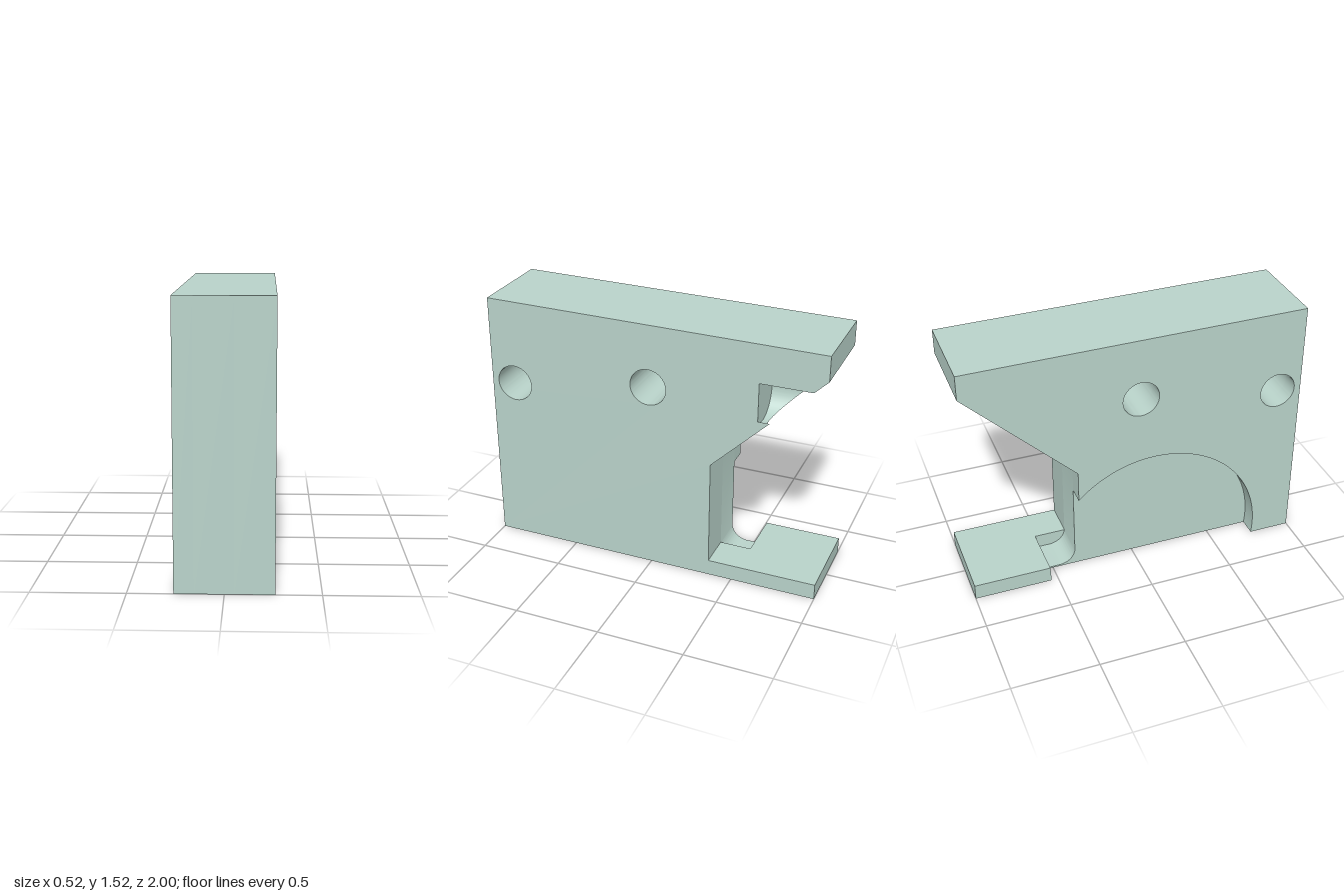
import * as THREE from 'three';
import { toCreasedNormals } from 'three/addons/utils/BufferGeometryUtils.js';

const HALF = 0.26;        // half thickness of the block
const RECESS_X = -0.155;  // floor of the round side recess
const POCKET_X = 0.05;    // inner end of the foot pocket
const SLOT_Z = -0.625;    // blind end of the round slot

export function createModel() {
  const group = new THREE.Group();
  const material = new THREE.MeshStandardMaterial({ color: 0xb9d3ca });

  const add = (name, geometry) => {
    const mesh = new THREE.Mesh(toCreasedNormals(geometry, 0.5), material);
    mesh.name = name;
    group.add(mesh);
  };

  // Side profiles are drawn as (-z, y) and extruded across x
  const slab = (name, shape, x0, x1) => {
    const g = new THREE.ExtrudeGeometry(shape, { depth: x1 - x0, bevelEnabled: false, curveSegments: 40 });
    g.rotateY(Math.PI / 2);
    g.translate(x0, 0, 0);
    add(name, g);
  };

  // Back wall above the foot, slot end, top and front, then two through holes
  const finishProfile = (shape) => {
    [[0.36, 0.73], [0.625, 0.989], [0.625, 1.355], [1, 1.355], [1, 1.5], [-1, 1.52], [-1, 0]]
      .forEach(([u, y]) => shape.lineTo(u, y));
    for (const [u, y] of [[-0.855, 1.015], [-0.015, 1.14]]) {
      shape.holes.push(new THREE.Path().absarc(u, y, 0.107, 0, Math.PI * 2, true));
    }
    return shape;
  };

  // Left-hand layer with full foot
  const full = new THREE.Shape().moveTo(-1, 0).lineTo(1, 0).lineTo(1, 0.095).lineTo(0.36, 0.095);
  slab('bodyLeft', finishProfile(full), POCKET_X, HALF);

  // Middle layer with a curved pocket sunk into the foot
  const middle = new THREE.Shape().moveTo(-1, 0).lineTo(1, 0).lineTo(1, 0.095)
    .lineTo(0.546, 0.095).lineTo(0.546, 0.01).lineTo(0.45, 0.01);
  middle.quadraticCurveTo(0.375, 0.02, 0.36, 0.095);
  slab('bodyMiddle', finishProfile(middle), RECESS_X, POCKET_X);

  // Right-hand layer with the large round recess
  const recessed = new THREE.Shape().moveTo(-1, 0).lineTo(-0.755, 0);
  recessed.absarc(-0.107, 0.083, 0.653, Math.PI + 0.127, 0.774, true);
  slab('bodyRight', finishProfile(recessed), -HALF, RECESS_X);
  const tip = new THREE.Shape().moveTo(0.541, 0).lineTo(1, 0).lineTo(1, 0.095).lineTo(0.546, 0.095);
  slab('footTip', tip, -HALF, RECESS_X);

  // Sloped overhang with a round slot breaking out of its left side
  const cx = 0.17, cy = 1.167, r = 0.144;
  const a = Math.acos((HALF - cx) / r);
  const wedge = new THREE.Shape().moveTo(-HALF, 0.989).lineTo(HALF, 0.989)
    .lineTo(HALF, cy - r * Math.sin(a));
  wedge.absarc(cx, cy, r, -a, a, true);
  wedge.lineTo(HALF, 1.355).lineTo(-HALF, 1.355);
  const g = new THREE.ExtrudeGeometry(wedge, { depth: 1, bevelEnabled: false, curveSegments: 48 });
  const p = g.attributes.position;
  for (let i = 0; i < p.count; i++) {
    // the back cap follows the slope, the front cap meets the body
    const slope = SLOT_Z - (p.getY(i) - 0.989) * (0.375 / 0.366);
    p.setZ(i, p.getZ(i) < 0.5 ? slope : SLOT_Z);
  }
  g.computeVertexNormals();
  add('slottedOverhang', g);

  return group;
}
